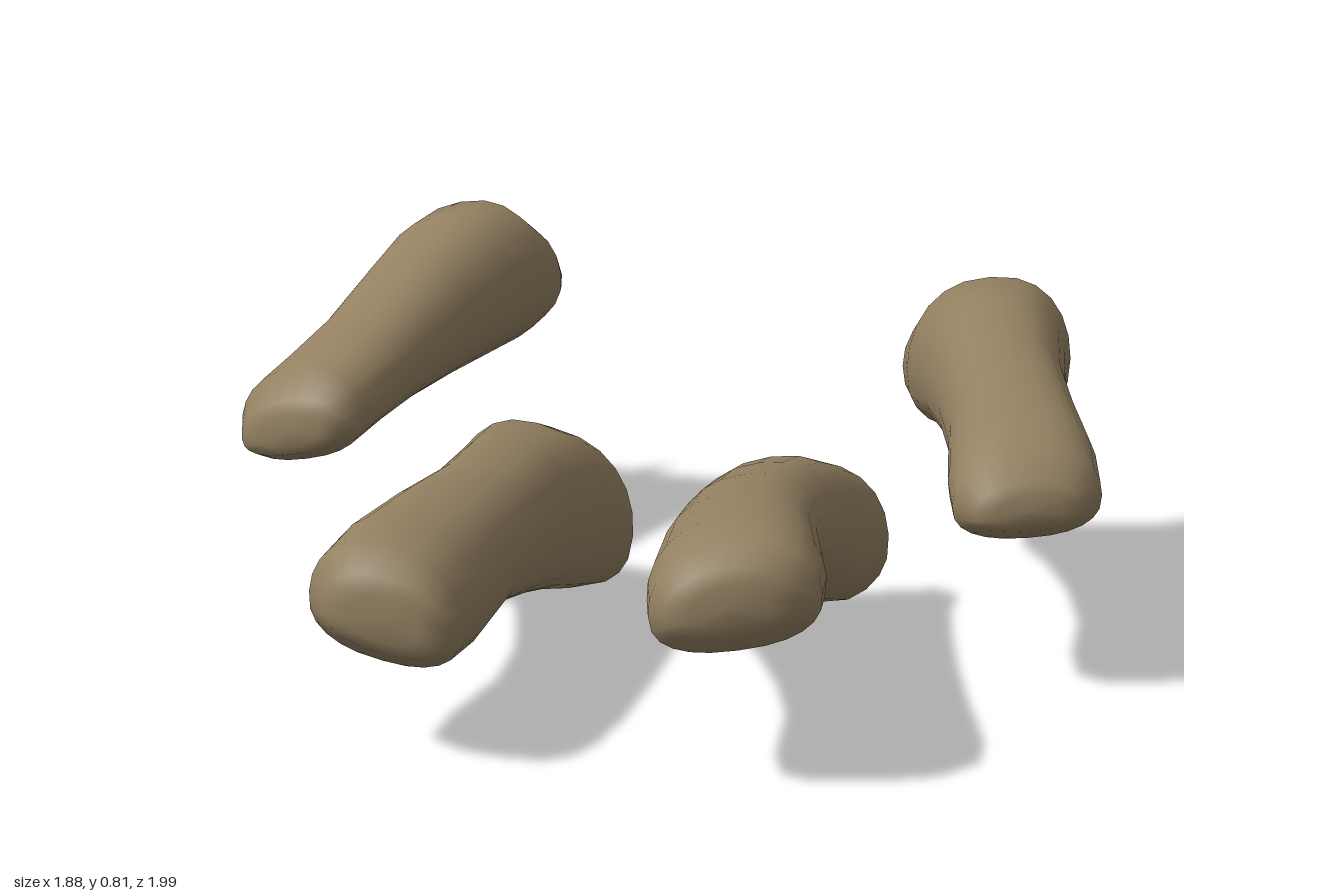
import * as THREE from 'three';

const SEG = 24;

// Lofts a bone from stations running front to back.
// Station: [centre x, centre z, half width, bottom y, top y]
function boneGeometry({ stations, yaw, roll, lobe, groove }) {
  const n = stations.length;
  const positions = [];
  const index = [];
  const yawRad = THREE.MathUtils.degToRad(yaw);
  const rollRad = THREE.MathUtils.degToRad(roll);

  const addRing = ([cx, cz, w, y0, y1], scale, endAmount, dz) => {
    const mid = y0 + (y1 - y0) * 0.42;
    for (let j = 0; j < SEG; j++) {
      const t = (j / SEG) * Math.PI * 2;
      const c = Math.cos(t), s = Math.sin(t);
      const a = Math.sign(c) * Math.pow(Math.abs(c), 0.85) * scale;
      // rounded upper side, flatter underside with a groove near the knuckle
      let v = s > 0 ? (y1 - mid) * s : -(mid - y0) * Math.pow(-s, 0.75);
      if (s < 0) v += groove * endAmount * Math.exp(-Math.pow(a * 2.6, 2)) * -s;
      v *= scale;
      const u = a * w;
      const x = u * Math.cos(rollRad) - v * Math.sin(rollRad) * 0.5;
      const y = u * Math.sin(rollRad) + v;
      positions.push(
        cx + x * Math.cos(yawRad),
        mid + y,
        cz + x * Math.sin(yawRad) + dz - lobe * endAmount * a * a
      );
    }
  };

  // front cap, shaft, then the hollow two-lobed back end
  addRing(stations[0], 0, 0, 0.012);
  addRing(stations[0], 0.6, 0, 0.01);
  stations.forEach((st, i) => {
    const endAmount = [1, 0.75, 0.4, 0.1][n - 1 - i] ?? 0;
    addRing(st, 1, endAmount, 0);
  });
  const last = stations[n - 1];
  addRing(last, 0.75, 1, -0.005);
  addRing(last, 0.4, 1, 0.01);
  addRing(last, 0, 1, 0.02);

  const rings = positions.length / 3 / SEG;
  for (let i = 0; i < rings - 1; i++) {
    for (let j = 0; j < SEG; j++) {
      const k = (j + 1) % SEG;
      const a = i * SEG + j, b = i * SEG + k;
      const c = a + SEG, d = b + SEG;
      index.push(a, c, b, b, c, d);
    }
  }
  const g = new THREE.BufferGeometry();
  g.setAttribute('position', new THREE.Float32BufferAttribute(positions, 3));
  g.setIndex(index);
  g.computeVertexNormals();
  return g;
}

const BONES = {
  outerRightBone: {
    yaw: 21, roll: 13, lobe: 0.08, groove: 0.06,
    stations: [
      [-0.80, 0.025, 0.13, 0.41, 0.53], [-0.785, -0.03, 0.16, 0.385, 0.59],
      [-0.74, -0.15, 0.165, 0.41, 0.62], [-0.68, -0.3, 0.16, 0.43, 0.67],
      [-0.61, -0.5, 0.17, 0.44, 0.75], [-0.55, -0.64, 0.19, 0.45, 0.81],
      [-0.50, -0.74, 0.21, 0.46, 0.83], [-0.47, -0.80, 0.205, 0.48, 0.77],
      [-0.45, -0.83, 0.18, 0.51, 0.7],
    ],
  },
  innerRightBone: {
    yaw: 11, roll: -11, lobe: 0.05, groove: 0.06,
    stations: [
      [-0.46, 0.86, 0.125, 0.27, 0.42], [-0.465, 0.81, 0.155, 0.235, 0.47],
      [-0.44, 0.7, 0.16, 0.23, 0.485], [-0.39, 0.5, 0.15, 0.25, 0.485],
      [-0.345, 0.3, 0.145, 0.2, 0.48], [-0.315, 0.1, 0.155, 0.14, 0.48],
      [-0.285, -0.05, 0.185, 0.09, 0.47], [-0.265, -0.16, 0.21, 0.06, 0.43],
      [-0.26, -0.22, 0.185, 0.09, 0.35],
    ],
  },
  innerLeftBone: {
    yaw: -3, roll: 8, lobe: 0.05, groove: 0.06,
    stations: [
      [0.19, 0.98, 0.12, 0.36, 0.49], [0.2, 0.94, 0.16, 0.32, 0.53],
      [0.2, 0.85, 0.168, 0.305, 0.55], [0.2, 0.65, 0.155, 0.32, 0.535],
      [0.215, 0.45, 0.155, 0.26, 0.51], [0.24, 0.25, 0.165, 0.17, 0.475],
      [0.265, 0.05, 0.19, 0.07, 0.43], [0.295, -0.07, 0.222, 0.02, 0.38],
      [0.305, -0.13, 0.2, 0.045, 0.29],
    ],
  },
  outerLeftBone: {
    yaw: -7, roll: 3, lobe: 0.06, groove: 0.04,
    stations: [
      [0.77, 0.45, 0.11, 0.40, 0.50], [0.77, 0.4, 0.152, 0.37, 0.56],
      [0.77, 0.28, 0.155, 0.365, 0.6], [0.765, 0.1, 0.14, 0.40, 0.635],
      [0.755, -0.1, 0.142, 0.41, 0.67], [0.75, -0.3, 0.165, 0.39, 0.715],
      [0.748, -0.42, 0.192, 0.365, 0.73], [0.75, -0.5, 0.2, 0.38, 0.67],
      [0.755, -0.54, 0.178, 0.42, 0.6],
    ],
  },
};

export function createModel() {
  const group = new THREE.Group();
  const bone = new THREE.MeshStandardMaterial({ name: 'weathered bone', color: 0x938061 });

  for (const [name, spec] of Object.entries(BONES)) {
    const mesh = new THREE.Mesh(boneGeometry(spec), bone);
    mesh.name = name;
    group.add(mesh);
  }

  // small splinter on the back of the outer right bone
  const from = new THREE.Vector3(-0.55, 0.57, -0.9);
  const to = new THREE.Vector3(-0.43, 0.6, -1.0);
  const dir = to.clone().sub(from);
  const splinter = new THREE.Mesh(new THREE.ConeGeometry(0.045, dir.length(), 8), bone);
  splinter.name = 'boneSplinter';
  splinter.position.copy(from).addScaledVector(dir, 0.5);
  splinter.quaternion.setFromUnitVectors(new THREE.Vector3(0, 1, 0), dir.normalize());
  group.add(splinter);

  return group;
}
